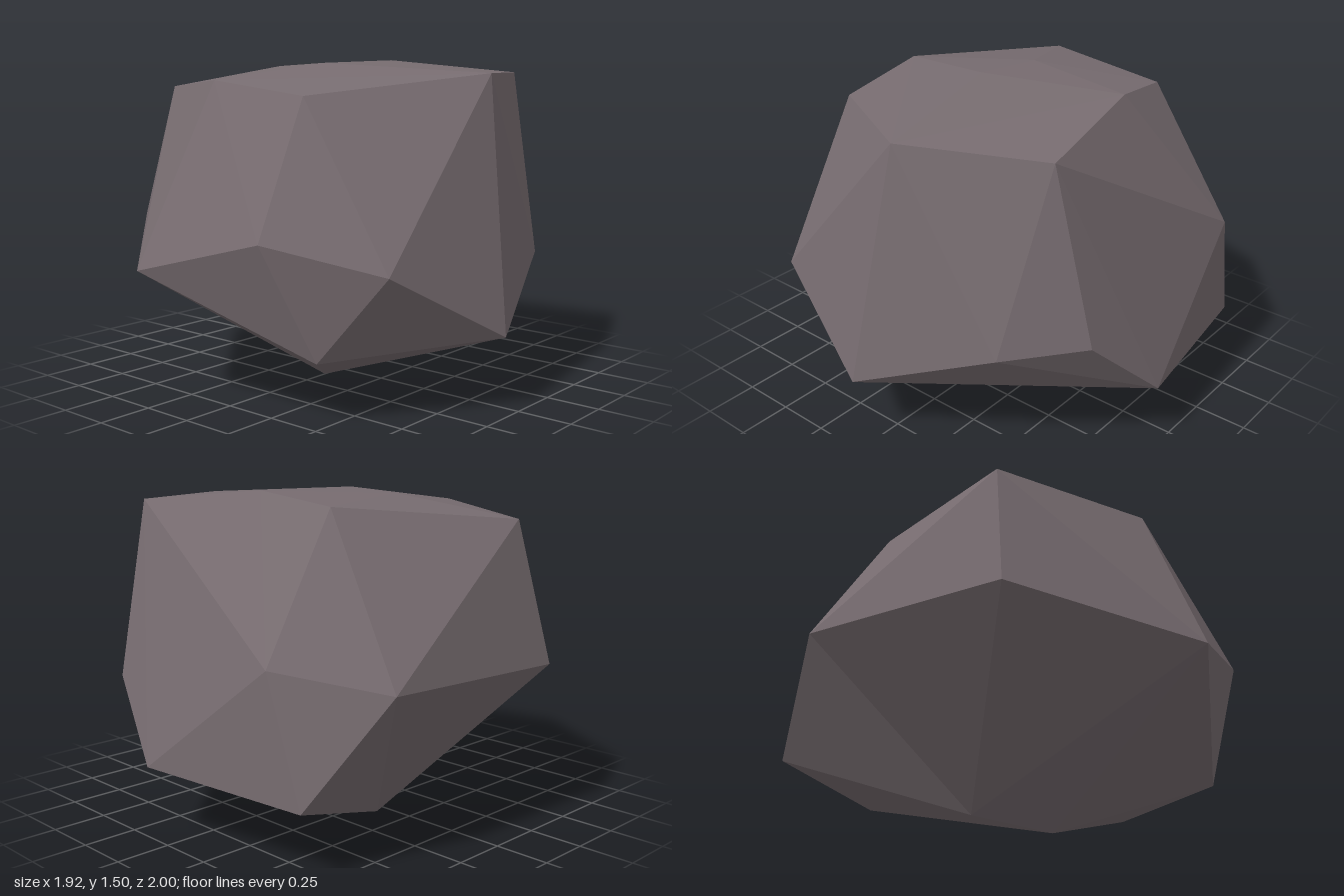
import * as THREE from 'three';
import { ConvexGeometry } from 'three/addons/geometries/ConvexGeometry.js';

// Corner points of the boulder, listed in layers from the crown down
const crown = [
  [-0.84, 1.37, 0.30], [-0.14, 1.41, 0.68], [0.34, 1.35, 0.64], [0.78, 1.44, -0.08],
  [0.52, 1.44, -0.70], [-0.14, 1.50, -0.57], [-0.50, 1.445, -0.51],
  [0.00, 1.485, 0.12], [-0.33, 1.47, 0.07],
];
const girdle = [
  [-0.30, 0.60, 1.00], [0.34, 0.77, 0.91], [0.78, 0.65, 0.63], [0.73, 0.59, -0.58],
  [0.48, 0.65, -0.88], [-0.54, 0.84, -0.90], [-0.93, 0.75, -0.58],
];
const base = [
  [0.96, 0.33, 0.05], [0.48, 0.27, 0.72], [0.13, 0.32, -1.00], [-0.70, 0.29, -0.87],
  [0.00, 0.00, 0.12], [-0.37, 0.01, -0.08],
];

// This corner is pulled out after the hull is made, leaving a shallow hollow beneath it
const spurStart = new THREE.Vector3(-0.70, 0.73, 0.40);
const spurEnd = new THREE.Vector3(-0.96, 0.73, 0.40);

export function createModel() {
  const stone = new THREE.MeshStandardMaterial({ color: 0x776c70, flatShading: true });
  stone.name = 'warm grey stone';

  const points = [...crown, ...girdle, ...base].map((p) => new THREE.Vector3(...p));
  const geometry = new ConvexGeometry([...points, spurStart]);

  const pos = geometry.attributes.position;
  const v = new THREE.Vector3();
  for (let i = 0; i < pos.count; i++) {
    v.fromBufferAttribute(pos, i);
    if (v.distanceTo(spurStart) < 0.001) pos.setXYZ(i, spurEnd.x, spurEnd.y, spurEnd.z);
  }
  geometry.computeVertexNormals();

  const boulder = new THREE.Mesh(geometry, stone);
  boulder.name = 'boulder';
  const model = new THREE.Group();
  model.name = 'rock';
  model.add(boulder);
  return model;
}
